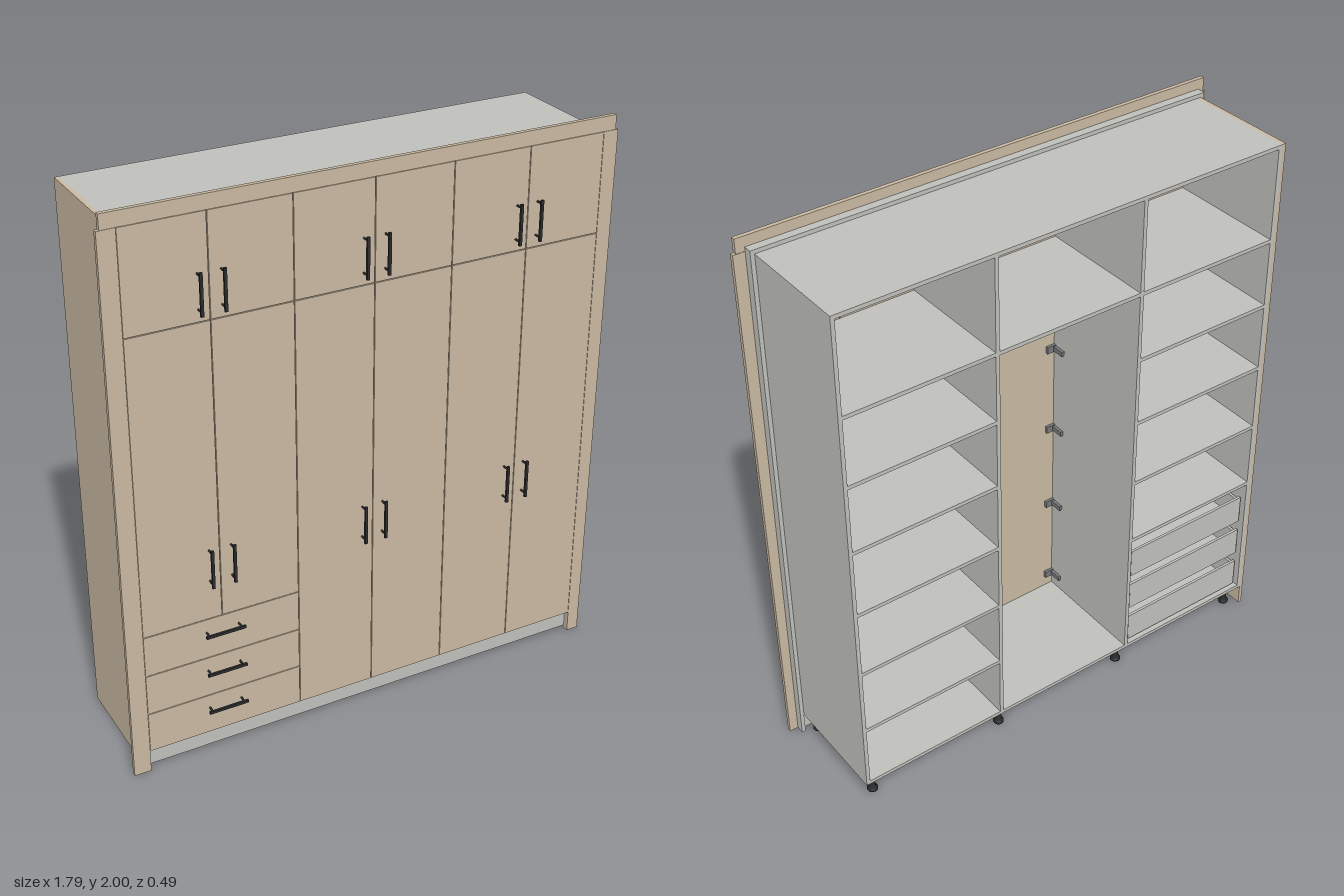
import * as THREE from 'three';

const mat = (name, color) => {
  const m = new THREE.MeshStandardMaterial({ color });
  m.name = name;
  return m;
};

export function createModel() {
  const root = new THREE.Group();
  root.name = 'wardrobe';
  const wood = mat('tanWood', 0xc8b8a0);
  const board = mat('greyBoard', 0xbfc0bb);
  const dark = mat('darkMetal', 0x2b2c2e);
  const metal = mat('hingeMetal', 0x77787a);

  const group = (name) => {
    const g = new THREE.Group();
    g.name = name;
    root.add(g);
    return g;
  };
  // box given by its limits on each axis
  const box = (parent, name, m, x0, x1, y0, y1, z0, z1) => {
    const mesh = new THREE.Mesh(new THREE.BoxGeometry(x1 - x0, y1 - y0, z1 - z0), m);
    mesh.position.set((x0 + x1) / 2, (y0 + y1) / 2, (z0 + z1) / 2);
    mesh.name = name;
    parent.add(mesh);
    return mesh;
  };

  const T = 0.014, B = -0.243, F = 0.197, FRONT = 0.212;
  const W = 0.84, D = 0.28, Y0 = 0.08, Y1 = 1.95, MID = 1.6;
  const columns = [[-W + T, -D - T / 2], [-D + T / 2, D - T / 2], [D + T / 2, W - T]];

  // Carcass, open at the back
  const carcass = group('carcass');
  box(carcass, 'bottomBoard', board, -W, W, Y0, Y0 + T, B, F);
  box(carcass, 'topBoard', board, -W, W, Y1 - T, Y1, B, F);
  for (const s of [-1, 1]) {
    const x = s * (W - T / 2);
    box(carcass, 'sideBoard', board, x - T / 2, x + T / 2, Y0 + T, Y1 - T, B, F);
    box(carcass, 'divider', board, s * D - T / 2, s * D + T / 2, Y0 + T, Y1 - T, B, F);
  }

  // Shelves: outer columns evenly spaced, centre only at the top box
  const shelves = group('shelves');
  const step = (MID - Y0) / 6;
  columns.forEach(([x0, x1], c) => {
    for (let k = 1; k <= 6; k++) {
      if ((c === 1 && k < 6) || (c === 0 && k === 1)) continue;
      const y = Y0 + k * step;
      box(shelves, 'shelf', board, x0, x1, y - T / 2, y + T / 2, B, k === 6 ? F : 0.17);
    }
  });

  // Outer cladding and filler supports
  const trim = group('trim');
  box(trim, 'claddingPanel', wood, -W - T, -W, 0, Y1, B, F);
  box(trim, 'fillerSupport', board, -W - 2 * T, -W - T, 0, Y1 + T, 0.167, F);
  box(trim, 'fillerSupport', board, W, W + T, 0, Y1 + T, 0.167, F);
  box(trim, 'topSupport', board, -W - T, W, Y1, Y1 + T, 0.167, F);
  box(trim, 'topFascia', wood, -0.89, 0.885, Y1, 2, F, FRONT);
  box(trim, 'leftoverFiller', wood, -0.9, -W, 0, Y1 - 0.001, F, FRONT);
  // slightly tapered filler fitted to a crooked wall
  const taper = box(trim, 'taperedFiller', wood, W, 0.895, 0, Y1 - 0.001, F, FRONT);
  const p = taper.geometry.attributes.position;
  for (let i = 0; i < p.count; i++) {
    if (p.getX(i) > 0 && p.getY(i) < 0) p.setX(i, p.getX(i) - 0.01);
  }
  taper.geometry.computeVertexNormals();
  box(trim, 'plinth', board, -W, W, 0.01, Y0, 0.176, 0.19);

  // Doors: six columns, split into upper and lower rows
  const doors = group('doors');
  const G = 0.0015;
  const drawerTop = 0.537;
  for (let i = 0; i < 6; i++) {
    const x0 = -W + i * D + G, x1 = -W + (i + 1) * D - G;
    box(doors, 'upperDoor', wood, x0, x1, MID + G, Y1 - G, F, FRONT);
    box(doors, 'lowerDoor', wood, x0, x1, (i < 2 ? drawerTop : Y0) + G, MID - G, F, FRONT);
  }

  // Bar handle on two posts
  const handle = (x, y, horizontal) => {
    const g = new THREE.Group();
    g.name = 'handle';
    box(g, 'handleBar', dark, -0.005, 0.005, -0.071, 0.071, 0.235, 0.243);
    for (const s of [-1, 1]) {
      const post = new THREE.Mesh(new THREE.CylinderGeometry(0.0035, 0.0035, 0.026, 10), dark);
      post.rotation.x = Math.PI / 2;
      post.position.set(0, s * 0.058, 0.224);
      post.name = 'handlePost';
      g.add(post);
    }
    if (horizontal) g.rotation.z = Math.PI / 2;
    g.position.set(x, y, 0);
    root.add(g);
  };
  for (const x of [-0.598, -0.52, -0.04, 0.036, 0.518, 0.595]) {
    handle(x, 1.7, false);
    handle(x, 0.74, false);
  }

  // Drawers: wood front with an open grey box behind
  const drawers = group('drawers');
  const h = (drawerTop - Y0) / 3;
  for (let i = 0; i < 3; i++) {
    const y = Y0 + i * h;
    box(drawers, 'drawerFront', wood, -W + G, -D - G, y + G, y + h - G, F, FRONT);
    const x0 = columns[0][0] + 0.012, x1 = columns[0][1] - 0.012;
    const b = y + 0.022, t = b + 0.112;
    box(drawers, 'drawerBase', board, x0, x1, b + 0.008, b + 0.016, -0.22, F);
    box(drawers, 'drawerBack', board, x0, x1, b, t, -0.23, -0.22);
    for (const x of [x0, x1 - 0.01]) box(drawers, 'drawerSide', board, x, x + 0.01, b, t - 0.012, -0.22, F);
    for (const x of [x0 - 0.011, x1]) box(drawers, 'drawerRunner', metal, x, x + 0.011, b + 0.02, b + 0.045, -0.22, 0.18);
    handle(-0.56, y + h * 0.66, true);
  }

  // Hinges beside each door edge
  const hinges = group('hinges');
  columns.forEach(([x0, x1], c) => {
    for (const y of [0.15, 0.49, 0.83, 1.17, 1.51, 1.67, 1.88]) {
      if (c === 0 && y < 0.55) continue;
      for (const [x, s] of [[x0, 1], [x1, -1]]) {
        const far = x + s * 0.011, cup = x + s * 0.035;
        box(hinges, 'hingeArm', metal, Math.min(x, far), Math.max(x, far), y - 0.009, y + 0.009, 0.14, 0.19);
        box(hinges, 'hingeCup', metal, Math.min(x, cup), Math.max(x, cup), y - 0.013, y + 0.013, 0.186, F);
      }
    }
  });

  // Clothes rail with end flanges
  const rail = group('clothesRail');
  const cyl = (name, r, x0, x1) => {
    const m = new THREE.Mesh(new THREE.CylinderGeometry(r, r, x1 - x0, 20), board);
    m.rotation.z = Math.PI / 2;
    m.position.set((x0 + x1) / 2, 1.52, -0.02);
    m.name = name;
    rail.add(m);
  };
  const [r0, r1] = columns[1];
  cyl('railTube', 0.01, r0, r1);
  cyl('railFlange', 0.018, r0, r0 + 0.008);
  cyl('railFlange', 0.018, r1 - 0.008, r1);

  // Spool-shaped feet
  const feet = group('feet');
  const profile = [[0, 0], [0.019, 0], [0.019, 0.007], [0.011, 0.014], [0.009, 0.06],
    [0.012, 0.068], [0.02, 0.072], [0.02, Y0], [0, Y0]].map(([x, y]) => new THREE.Vector2(x, y));
  const footGeometry = new THREE.LatheGeometry(profile, 16);
  for (const x of [-0.8, -0.267, 0.265, 0.795]) {
    for (const z of [0.153, -0.2]) {
      const foot = new THREE.Mesh(footGeometry, dark);
      foot.position.set(x, 0, z);
      foot.name = 'foot';
      feet.add(foot);
    }
  }
  return root;
}
